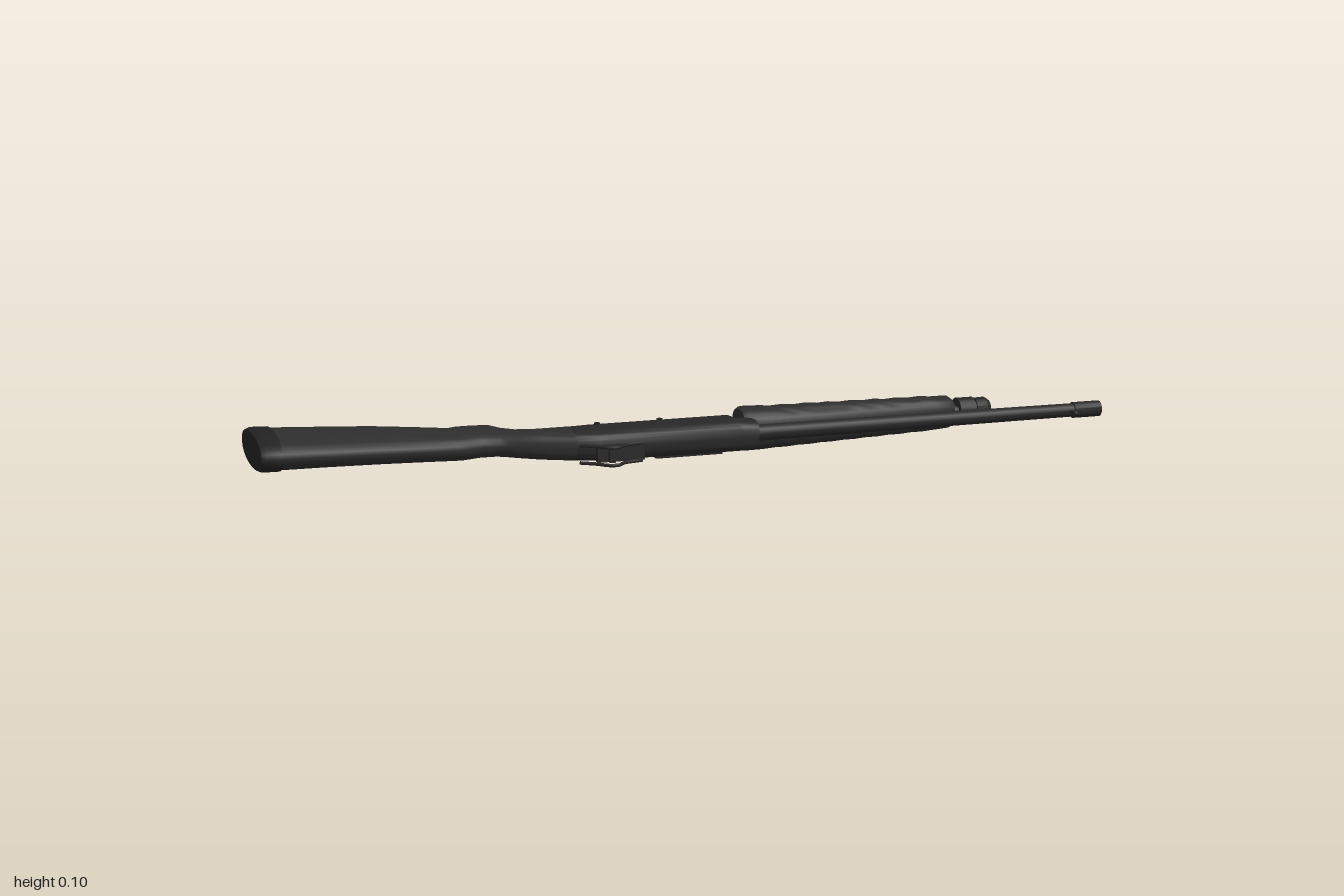
import * as THREE from 'three';
import { toCreasedNormals } from 'three/addons/utils/BufferGeometryUtils.js';

const mat = (name, color) => {
  const m = new THREE.MeshStandardMaterial({ color });
  m.name = name;
  return m;
};

// Skin through rounded sections [x, zLow, zHigh, halfWidth, squareness, yCentre]
function loft(sections, n = 20) {
  const pos = [], idx = [];
  const pow = (v, e) => Math.sign(v) * Math.pow(Math.abs(v), e);
  for (const [x, lo, hi, hw, e = 0.8, yc = 0.055] of sections)
    for (let j = 0; j < n; j++) {
      const t = (j / n) * Math.PI * 2;
      pos.push(x, yc + hw * pow(Math.sin(t), e), (lo + hi) / 2 + ((hi - lo) / 2) * pow(Math.cos(t), e));
    }
  const last = sections.length - 1;
  for (let i = 0; i < last; i++)
    for (let j = 0; j < n; j++) {
      const a = i * n + j, b = i * n + ((j + 1) % n);
      idx.push(a, a + n, b, b, a + n, b + n);
    }
  for (const s of [0, last]) {
    const [x, lo, hi, , , yc = 0.055] = sections[s];
    const c = pos.length / 3;
    pos.push(x, yc, (lo + hi) / 2);
    for (let j = 0; j < n; j++) {
      const a = s * n + j, b = s * n + ((j + 1) % n);
      if (s === 0) idx.push(c, a, b);
      else idx.push(c, b, a);
    }
  }
  const g = new THREE.BufferGeometry();
  g.setAttribute('position', new THREE.Float32BufferAttribute(pos, 3));
  g.setIndex(idx);
  return toCreasedNormals(g, 0.65);
}

export function createModel() {
  const model = new THREE.Group();
  const polymer = mat('charcoal polymer', 0x2d2d2d);
  const steel = mat('blackened steel', 0x272727);
  const rubber = mat('dark rubber', 0x222222);

  const add = (name, geo, material) => {
    const m = new THREE.Mesh(geo, material);
    m.name = name;
    model.add(m);
    return m;
  };
  const box = (name, x0, x1, y0, y1, z0, z1, material) =>
    add(name, new THREE.BoxGeometry(x1 - x0, y1 - y0, z1 - z0)
      .translate((x0 + x1) / 2, (y0 + y1) / 2, (z0 + z1) / 2), material);
  // Rod along x
  const rod = (name, x0, x1, r0, r1, y, z, material, sides = 20) =>
    add(name, new THREE.CylinderGeometry(r1, r0, x1 - x0, sides).rotateZ(-Math.PI / 2)
      .translate((x0 + x1) / 2, y, z), material);
  // Bent wire or strip in the x-z plane, flattened or widened in y
  const wire = (name, pts, y, r, widen, material) => {
    const curve = new THREE.CatmullRomCurve3(pts.map(([x, z]) => new THREE.Vector3(x, 0, z)));
    add(name, new THREE.TubeGeometry(curve, 32, r, 8).scale(1, widen, 1).translate(0, y, 0), material);
  };

  // Shoulder stock, pistol grip and wrist
  add('stock', loft([
    [-0.955, -0.195, 0.045, 0.042, 0.95],
    [-0.85, -0.172, 0.053, 0.04, 0.95],
    [-0.73, -0.142, 0.066, 0.038, 0.95],
    [-0.64, -0.1, 0.076, 0.036, 0.95],
    [-0.565, -0.06, 0.084, 0.034, 0.9],
    [-0.545, -0.07, 0.084, 0.034, 0.85],
    [-0.505, -0.073, 0.072, 0.033, 0.85],
    [-0.468, -0.07, 0.078, 0.032, 0.85],
    [-0.452, -0.03, 0.084, 0.031, 0.85],
    [-0.425, 0.008, 0.098, 0.031, 0.8],
    [-0.38, 0.028, 0.12, 0.033, 0.75],
    [-0.31, 0.036, 0.147, 0.035, 0.65],
  ], 28), polymer);
  add('buttPad', loft([
    [-1, -0.202, 0.044, 0.039, 0.9],
    [-0.99, -0.206, 0.048, 0.044, 0.9],
    [-0.953, -0.198, 0.048, 0.044, 0.9],
  ], 28), rubber);

  // Receiver with its ports
  add('receiver', loft([
    [-0.312, 0.036, 0.146, 0.034, 0.6],
    [-0.26, 0.038, 0.16, 0.036, 0.55],
    [0.075, 0.042, 0.162, 0.037, 0.55],
    [0.08, 0.075, 0.162, 0.036, 0.6],
    [0.12, 0.085, 0.162, 0.034, 0.65],
  ], 24), steel);
  box('ejectionPort', -0.12, 0.04, 0.015, 0.0195, 0.09, 0.135, rubber);
  box('loadingPort', -0.13, 0.06, 0.04, 0.07, 0.036, 0.042, rubber);
  for (const x of [-0.24, -0.09])
    add('receiverPin', new THREE.CylinderGeometry(0.007, 0.007, 0.078, 12).translate(x, 0.055, 0.07), rubber);

  // Barrel, muzzle and tube magazine
  rod('barrel', 0.1, 0.95, 0.019, 0.016, 0.058, 0.133, steel);
  const muzzleProfile = [[0.011, -0.035], [0.019, -0.035], [0.019, 0.035], [0.012, 0.035], [0.012, -0.02], [0, -0.02]]
    .map(([r, y]) => new THREE.Vector2(r, y));
  add('muzzle', toCreasedNormals(new THREE.LatheGeometry(muzzleProfile, 20).rotateZ(-Math.PI / 2), 0.6)
    .translate(0.965, 0.058, 0.135), steel);
  rod('magazineTube', 0.07, 0.645, 0.022, 0.022, 0.06, 0.075, steel);
  rod('magazineNeck', 0.64, 0.66, 0.012, 0.012, 0.063, 0.075, steel);

  // Ribbed sliding fore-end
  const ribs = [[0.105, 0.02, 0.108, 0.046, 0.8, 0.056], [0.115, 0.01, 0.112, 0.051, 0.8, 0.055]];
  for (let i = 0; i < 16; i++) {
    const u = i / 15, x = 0.16 + u * 0.43, dip = i % 2 ? 0.005 : 0;
    ribs.push([x, 0.012 + u * 0.021 + dip, 0.113 - u * 0.01, 0.05 - u * 0.009 - dip * 0.3, 0.8, 0.055 + u * 0.006]);
  }
  ribs.push([0.63, 0.036, 0.102, 0.038, 0.8, 0.062], [0.64, 0.046, 0.098, 0.03, 0.8, 0.062]);
  add('foreEnd', loft(ribs, 24), polymer);

  // Magazine cap and barrel clamp
  rod('capCollar', 0.655, 0.695, 0.029, 0.029, 0.065, 0.071, steel, 16);
  rod('capGroove', 0.69, 0.705, 0.022, 0.022, 0.065, 0.071, steel, 16);
  const capProfile = [[0, -0.02], [0.026, -0.02], [0.027, 0.006], [0.02, 0.017], [0, 0.02]]
    .map(([r, y]) => new THREE.Vector2(r, y));
  add('magazineCap', toCreasedNormals(new THREE.LatheGeometry(capProfile, 16).rotateZ(-Math.PI / 2), 0.6)
    .translate(0.72, 0.065, 0.071), steel);
  box('barrelClamp', 0.66, 0.69, 0.053, 0.067, 0.09, 0.125, steel);

  // Trigger and guard
  wire('triggerGuard', [[-0.15, 0.038], [-0.19, 0.027], [-0.22, 0.0], [-0.26, -0.013], [-0.3, -0.008],
    [-0.315, 0.015], [-0.298, 0.042]], 0.055, 0.004, 2.6, steel);
  wire('trigger', [[-0.255, 0.045], [-0.262, 0.025], [-0.25, 0.005]], 0.055, 0.004, 1.5, steel);

  // Rear sight with two curved side guards
  box('rearSightBase', -0.27, -0.16, 0.024, 0.062, 0.155, 0.172, steel);
  box('rearSightLeaf', -0.245, -0.232, 0.024, 0.062, 0.17, 0.183, steel);
  for (const y of [0.022, 0.062])
    wire('rearSightGuard', [[-0.305, 0.15], [-0.275, 0.172], [-0.25, 0.198], [-0.23, 0.2], [-0.21, 0.18],
      [-0.165, 0.168]], y, 0.004, 1, steel);

  // Front sight
  box('frontSightPost', 0.915, 0.925, 0.055, 0.061, 0.148, 0.17, steel);
  add('frontSightBead', new THREE.SphereGeometry(0.006, 12, 8).translate(0.92, 0.058, 0.172), steel);

  return model;
}
